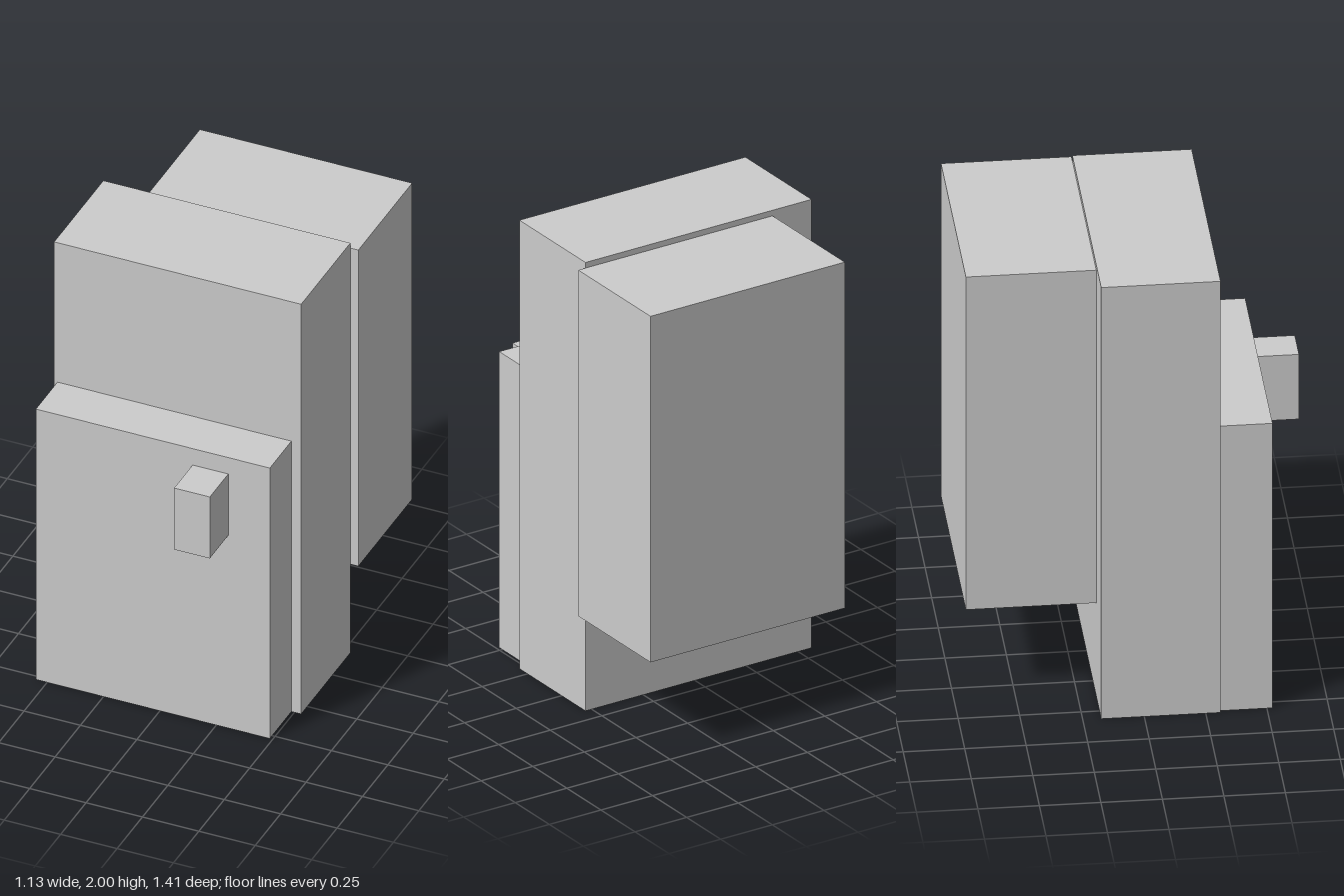
import * as THREE from 'three';

export function createModel() {
  const model = new THREE.Group();
  model.name = 'steppedBlocks';

  const lightGrey = new THREE.MeshStandardMaterial({ color: 0xcccccc });
  lightGrey.name = 'light grey';

  // Adds a box from its lower and upper extents on each axis
  function addBlock(name, [x0, x1], [y0, y1], [z0, z1]) {
    const block = new THREE.Mesh(new THREE.BoxGeometry(x1 - x0, y1 - y0, z1 - z0), lightGrey);
    block.position.set((x0 + x1) / 2, (y0 + y1) / 2, (z0 + z1) / 2);
    block.name = name;
    model.add(block);
  }

  // Tall main body
  addBlock('mainBody', [-0.565, 0.53], [0, 2], [-0.175, 0.31]);
  // Raised block on the back
  addBlock('rearBlock', [-0.376, 0.565], [0.432, 1.975], [-0.705, -0.175]);
  // Lower slab on the front
  addBlock('frontPanel', [-0.55, 0.487], [0, 1.32], [0.31, 0.523]);
  // Small block standing out from the front slab
  addBlock('frontKnob', [0.145, 0.303], [0.94, 1.24], [0.523, 0.705]);

  return model;
}
